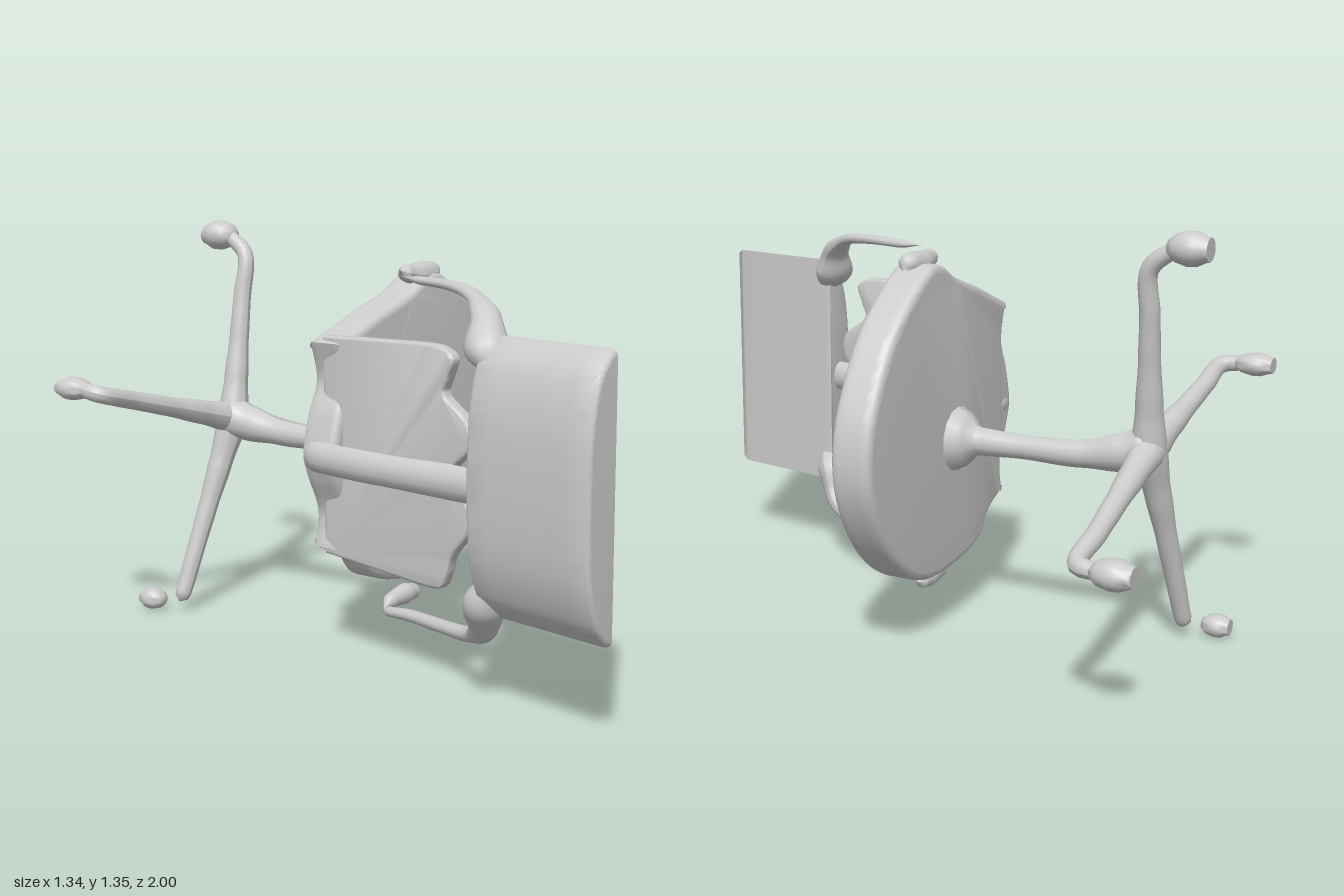
import * as THREE from 'three';
import { toCreasedNormals } from 'three/addons/utils/BufferGeometryUtils.js';

const V = (p) => new THREE.Vector3(p[0], p[1], p[2]);

export function createModel() {
  const group = new THREE.Group();
  const material = new THREE.MeshStandardMaterial({ color: 0xcccccc, side: THREE.DoubleSide });

  function add(name, geometry) {
    const mesh = new THREE.Mesh(geometry, material);
    mesh.name = name;
    group.add(mesh);
    return mesh;
  }

  // Tapered limb through points [x, y, z, radius]; squash flattens the section per axis
  function limb(name, points, squash = [1, 1, 1]) {
    const steps = 40, sides = 14;
    const curve = new THREE.CatmullRomCurve3(points.map(V), false, 'centripetal');
    const geo = new THREE.TubeGeometry(curve, steps, 1, sides);
    const lengths = curve.getLengths(200);
    const total = lengths[200];
    const at = points.map((p, i) => lengths[Math.round((200 * i) / (points.length - 1))] / total);
    const pos = geo.attributes.position, v = new THREE.Vector3(), s = V(squash);
    for (let i = 0; i <= steps; i++) {
      const t = i / steps;
      let k = 0;
      while (k < at.length - 2 && t > at[k + 1]) k++;
      const f = THREE.MathUtils.smoothstep(t, at[k], at[k + 1]);
      const r = THREE.MathUtils.lerp(points[k][3], points[k + 1][3], f);
      const c = curve.getPointAt(t);
      for (let j = 0; j <= sides; j++) {
        const n = i * (sides + 1) + j;
        v.fromBufferAttribute(pos, n).sub(c).multiplyScalar(r).multiply(s).add(c);
        pos.setXYZ(n, v.x, v.y, v.z);
      }
    }
    geo.computeVertexNormals();
    return add(name, geo);
  }

  // Rounded slab from an outline: depth along z before any reorientation
  function slab(shape, depth, bevel) {
    const geo = new THREE.ExtrudeGeometry(shape, {
      depth: depth - 2 * bevel, bevelThickness: bevel, bevelSize: bevel, bevelOffset: -bevel,
      bevelSegments: 4, curveSegments: 8, steps: 6,
    });
    return geo.translate(0, 0, bevel);
  }

  // Move x in proportion to z, to lean the back
  const lean = (geo, k) => geo.applyMatrix4(new THREE.Matrix4().set(1, 0, k, 0, 0, 1, 0, 0, 0, 0, 1, 0, 0, 0, 0, 1));
  const spline = (shape, pts) => shape.splineThru(pts.map((p) => new THREE.Vector2(p[0], p[1])));

  // Seat: round disc cut off at the back
  const seat = new THREE.Shape();
  seat.moveTo(-0.36, 1.02);
  spline(seat, [[-0.28, 1.05], [-0.15, 1.1], [0, 1.15], [0.1, 1.2], [0.2, 1.19], [0.4, 1.04], [0.53, 0.84],
    [0.57, 0.68], [0.545, 0.53], [0.45, 0.37], [0.32, 0.26], [0.17, 0.205], [-0.03, 0.21], [-0.17, 0.245],
    [-0.24, 0.32], [-0.35, 0.37]]);
  spline(seat, [[-0.33, 0.48], [-0.38, 0.6], [-0.4, 0.68], [-0.37, 0.8], [-0.33, 0.9], [-0.36, 1.02]]);
  add('seat', toCreasedNormals(slab(seat, 0.135, 0.025).translate(0, 0, -0.165), 0.7));

  // Lower back panel with a wavy top edge
  const panel = new THREE.Shape();
  panel.moveTo(0.35, -0.12);
  panel.lineTo(1.04, -0.12);
  panel.lineTo(1.055, 0.3);
  spline(panel, [[1.05, 0.38], [1.02, 0.43], [0.96, 0.41], [0.91, 0.4], [0.84, 0.49], [0.76, 0.49], [0.69, 0.43],
    [0.61, 0.49], [0.53, 0.5], [0.44, 0.43], [0.38, 0.41], [0.335, 0.38], [0.33, 0.3]]);
  const yzx = new THREE.Matrix4().makeBasis(V([0, 1, 0]), V([0, 0, 1]), V([1, 0, 0]));
  const panelGeo = slab(panel, 0.05, 0.012).applyMatrix4(yzx).translate(-0.36, 0, 0);
  add('lowerBackPanel', toCreasedNormals(lean(panelGeo, -0.16), 0.7));

  // Upper back panel: flat front, rounded back
  const upper = new THREE.Shape();
  upper.moveTo(-0.32, 0.29);
  upper.lineTo(-0.32, 1.1);
  spline(upper, [[-0.355, 1.085], [-0.41, 1.02], [-0.445, 0.89], [-0.455, 0.7], [-0.445, 0.5], [-0.405, 0.37],
    [-0.35, 0.305], [-0.32, 0.29]]);
  const upperGeo = slab(upper, 0.44, 0.018).translate(0, 0, 0.56);
  add('upperBackPanel', toCreasedNormals(lean(upperGeo, -0.17), 0.7));

  // Spine joining the seat to both back panels
  limb('spine', [[-0.28, 0.67, -0.13, 0.03], [-0.375, 0.67, -0.12, 0.045], [-0.41, 0.67, 0, 0.045],
    [-0.44, 0.67, 0.25, 0.045], [-0.455, 0.67, 0.45, 0.048], [-0.49, 0.67, 0.64, 0.045]], [0.85, 1.1, 1]);

  // Arms sweeping down from the upper back
  limb('leftArm', [[-0.47, 0.99, 0.62, 0.03], [-0.44, 1.06, 0.56, 0.075], [-0.39, 1.14, 0.52, 0.05],
    [-0.33, 1.19, 0.44, 0.03], [-0.25, 1.21, 0.3, 0.026], [-0.19, 1.212, 0.15, 0.022],
    [-0.155, 1.217, 0.05, 0.002]], [0.9, 0.6, 0.9]);
  limb('rightArm', [[-0.47, 0.41, 0.62, 0.03], [-0.44, 0.33, 0.56, 0.075], [-0.39, 0.235, 0.52, 0.05],
    [-0.33, 0.185, 0.44, 0.032], [-0.25, 0.16, 0.27, 0.028], [-0.18, 0.145, 0.1, 0.026],
    [-0.14, 0.13, -0.02, 0.022], [-0.12, 0.13, -0.05, 0.002]], [0.9, 0.75, 0.9]);

  // Arm pads near the seat rim
  limb('rightArmPad', [[-0.14, 0.135, -0.04, 0.003], [-0.08, 0.145, -0.055, 0.026], [0, 0.15, -0.06, 0.034],
    [0.05, 0.148, -0.06, 0.026], [0.07, 0.148, -0.06, 0.002]]);
  limb('leftArmPad', [[-0.01, 1.22, -0.07, 0.003], [0.03, 1.21, -0.075, 0.028], [0.1, 1.2, -0.08, 0.04],
    [0.17, 1.205, -0.08, 0.035], [0.2, 1.18, -0.08, 0.01]]);

  // Stem with a flared collar
  limb('stem', [[0, 0.63, -0.14, 0.12], [0, 0.63, -0.19, 0.09], [0, 0.63, -0.24, 0.045], [0, 0.63, -0.4, 0.038],
    [0, 0.635, -0.6, 0.044], [-0.01, 0.655, -0.73, 0.062], [-0.02, 0.67, -0.8, 0.075],
    [-0.02, 0.67, -0.845, 0.002]]);

  // Base: four legs, each ending in a caster
  const hub = [-0.02, 0.67, -0.8, 0.055];
  const legs = [
    { end: [0.085, 1.3], knee: [0.08, 1.235, -0.82], size: [0.06, 0.052], top: -0.87 },
    { end: [-0.62, 0.835], knee: [-0.615, 0.825, -0.83], size: [0.052, 0.038], top: -0.87 },
    { end: [0.61, 0.49], knee: [0.595, 0.495, -0.83], size: [0.054, 0.045], top: -0.87 },
    { end: [-0.28, 0.045], knee: [-0.235, 0.06, -0.86], size: [0.045, 0.038], top: -0.905 },
  ];
  legs.forEach(({ end, knee, size, top }, i) => {
    const mid = (t, r) => [0, 1, 2].map((a) => hub[a] + (knee[a] - hub[a]) * t).concat(r);
    const attached = top > -0.9;
    const tip = attached ? [[end[0], end[1], -0.9, 0.025]] : [[knee[0] - 0.01, knee[1] - 0.02, -0.865, 0.002]];
    limb('leg' + (i + 1), [hub, mid(0.25, 0.042), mid(0.5, 0.034), mid(0.75, 0.031), [...knee, 0.028], ...tip]);

    // Caster: rounded bulb with a flat end
    const h = top + 1;
    const profile = [[0, h], [0.45, h * 0.95], [0.8, h * 0.78], [1, h * 0.5], [0.98, h * 0.3], [0.72, 0.01], [0.68, 0],
      [0, 0]].map((p) => new THREE.Vector2(p[0], p[1]));
    const bulb = new THREE.LatheGeometry(profile, 20).rotateX(Math.PI / 2).scale(size[0], size[1], 1);
    add('caster' + (i + 1), toCreasedNormals(bulb, 0.9)).position.set(end[0], end[1], -1);
  });

  return group;
}
